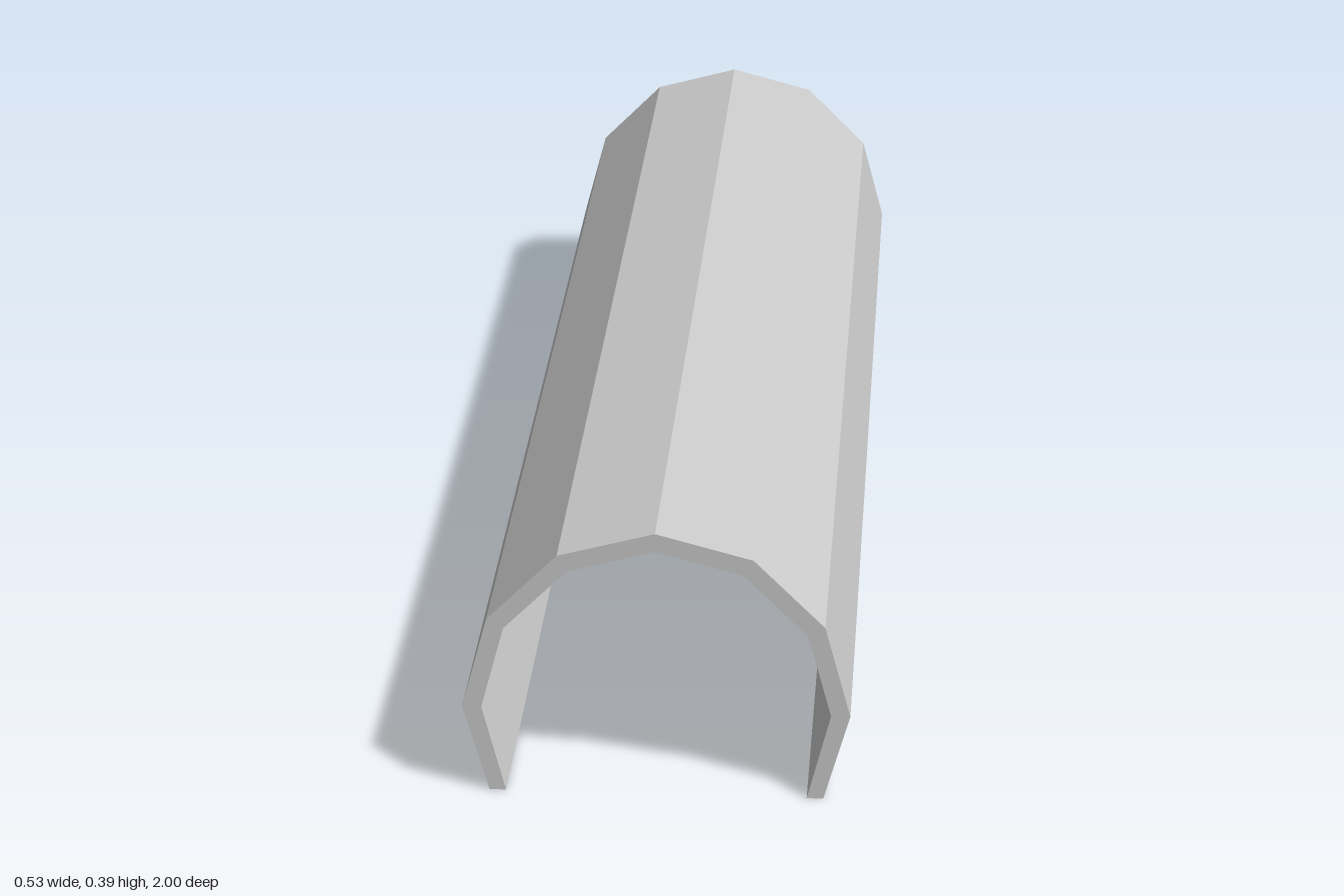
import * as THREE from 'three';

const OUTER = 0.267, INNER = 0.2405, CENTRE_Y = 0.127, LENGTH = 2;

// Points of a twelve-sided arc from -30 to 210 degrees, with both feet level on the ground
function arc(radius) {
  const points = [];
  for (let i = -1; i <= 7; i++) {
    const a = (i * Math.PI) / 6;
    const isFoot = i === -1 || i === 7;
    points.push(new THREE.Vector2(
      radius * Math.cos(a),
      isFoot ? 0 : CENTRE_Y + radius * Math.sin(a)
    ));
  }
  return points;
}

export function createModel() {
  const group = new THREE.Group();
  group.name = 'archedTunnel';

  // Horseshoe wall section, extruded along the tunnel
  const section = new THREE.Shape([...arc(OUTER), ...arc(INNER).reverse()]);
  const geometry = new THREE.ExtrudeGeometry(section, { depth: LENGTH, bevelEnabled: false });
  geometry.translate(0, 0, -LENGTH / 2);

  const shell = new THREE.Mesh(
    geometry,
    new THREE.MeshStandardMaterial({ color: 0xcccccc, flatShading: true })
  );
  shell.name = 'tunnelShell';
  group.add(shell);
  return group;
}
